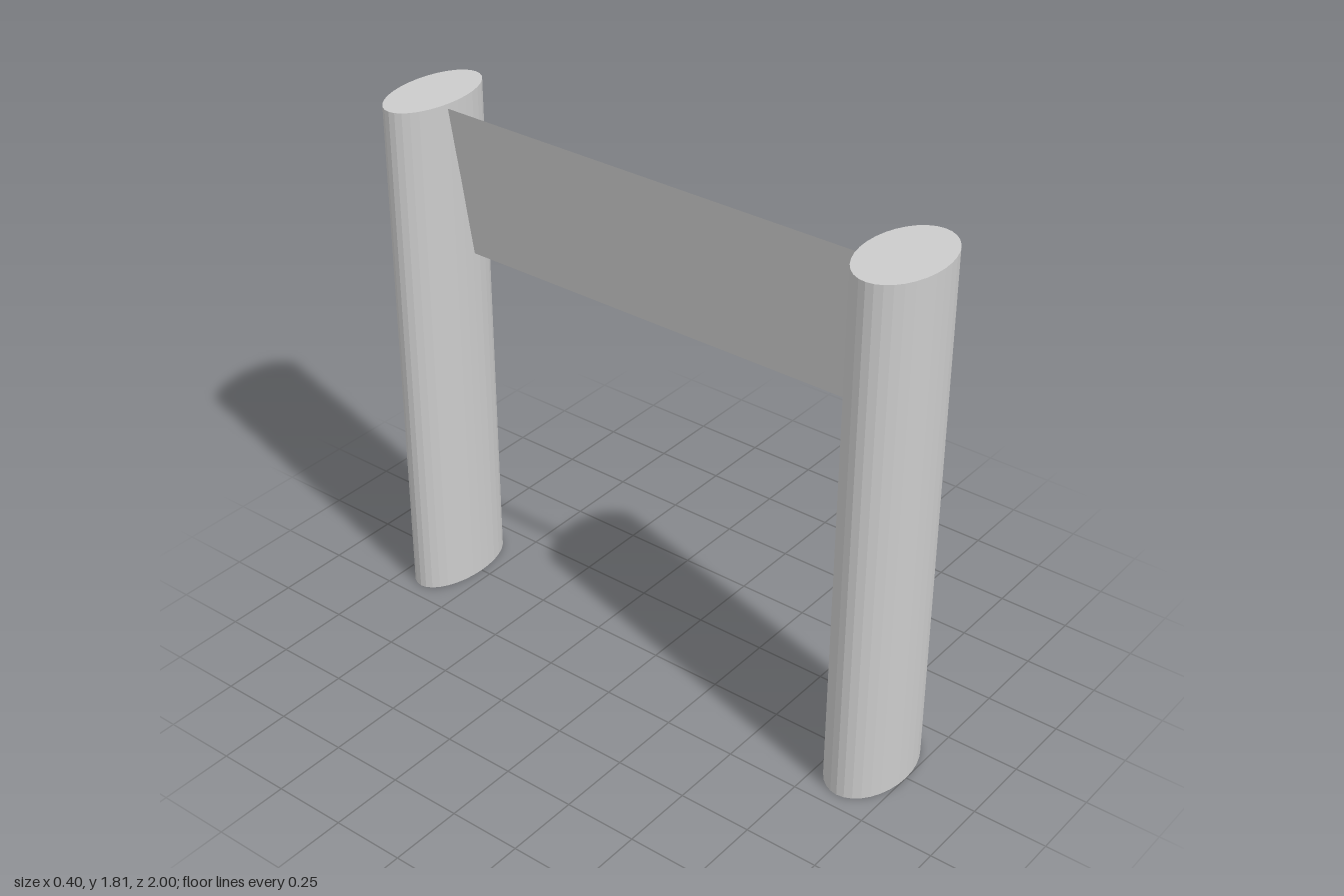
import * as THREE from 'three';

const material = new THREE.MeshStandardMaterial({
  color: 0xcccccc, flatShading: true, side: THREE.DoubleSide,
});

// Upright post with an elliptical section
function post(name, z, radiusZ) {
  const height = 1.81;
  const geometry = new THREE.CylinderGeometry(1, 1, height, 32);
  geometry.scale(0.2, 1, radiusZ);
  const mesh = new THREE.Mesh(geometry, material);
  mesh.name = name;
  mesh.position.set(0, height / 2, z);
  return mesh;
}

// Thin board between the posts, its top edge leaning towards -x
function panel() {
  const lean = 0.09, bottom = 1.25, top = 1.795;
  const zFront = 0.747, zBack = -0.789;
  const geometry = new THREE.PlaneGeometry(zFront - zBack, Math.hypot(lean, top - bottom));
  geometry.rotateY(Math.PI / 2);
  geometry.rotateZ(Math.atan2(lean, top - bottom));
  const mesh = new THREE.Mesh(geometry, material);
  mesh.name = 'panel';
  mesh.position.set(0, (top + bottom) / 2, (zFront + zBack) / 2);
  return mesh;
}

export function createModel() {
  const model = new THREE.Group();
  model.name = 'postsWithPanel';
  model.add(
    post('frontPost', 0.8725, 0.1275),
    post('backPost', -0.894, 0.106),
    panel(),
  );
  return model;
}
